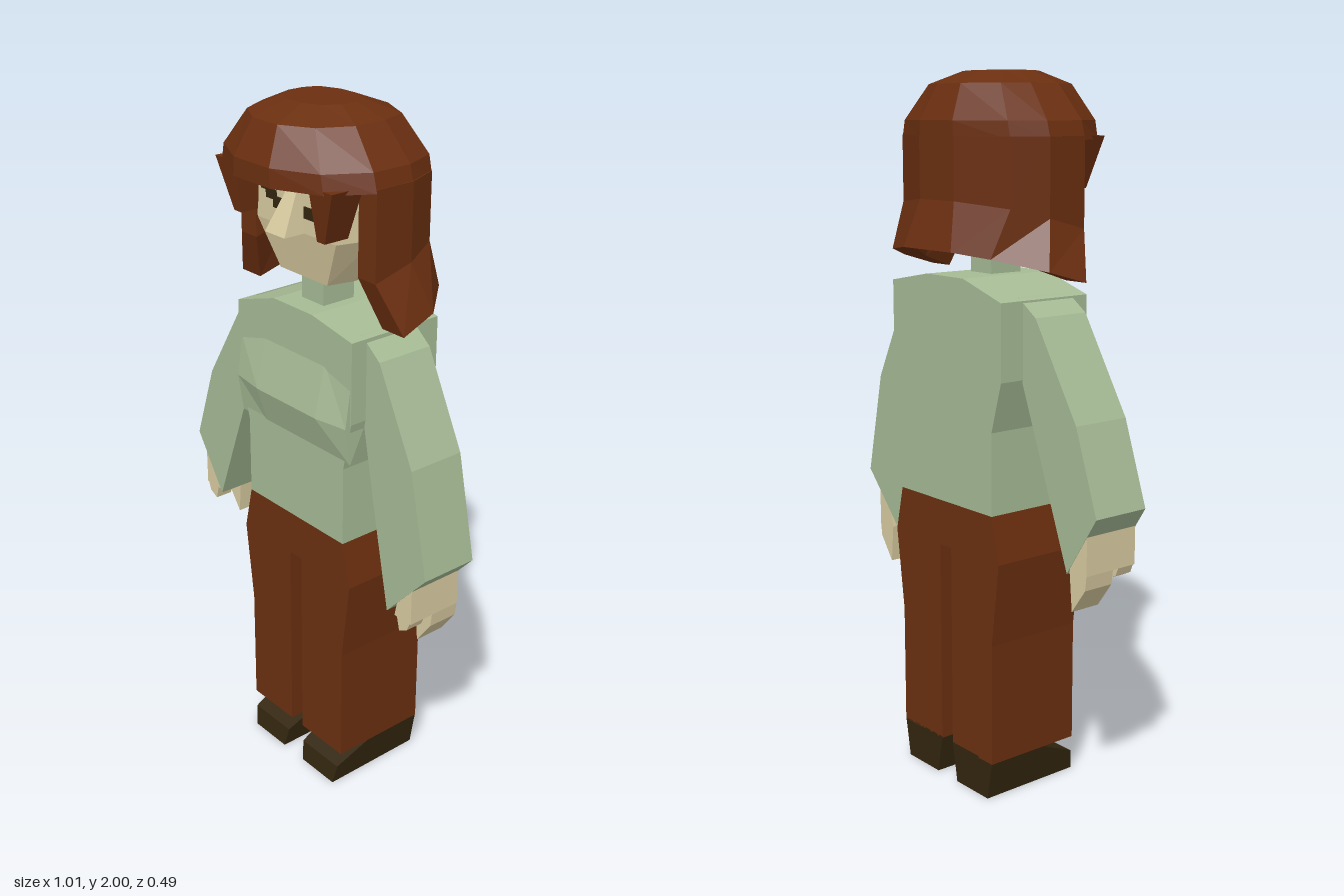
import * as THREE from 'three';

const material = (name, color) => {
  const m = new THREE.MeshStandardMaterial({ color });
  m.name = name;
  return m;
};

// Faceted solid through rings of equal, even point count, closed at both ends.
function loft(rings) {
  const n = rings[0].length, pos = [];
  const tri = (a, b, c) => pos.push(...a, ...b, ...c);
  const quad = (a, b, c, d) => { tri(a, b, c); tri(a, c, d); };
  for (let r = 0; r < rings.length - 1; r++)
    for (let i = 0; i < n; i++) {
      const j = (i + 1) % n;
      quad(rings[r][i], rings[r][j], rings[r + 1][j], rings[r + 1][i]);
    }
  const first = rings[0], last = rings[rings.length - 1];
  for (let i = 0; i < n / 2 - 1; i++) {
    quad(first[i], first[n - 1 - i], first[n - 2 - i], first[i + 1]);
    quad(last[i], last[i + 1], last[n - 2 - i], last[n - 1 - i]);
  }
  // Turn the solid outward if its signed volume is negative
  let volume = 0;
  const v = (k) => new THREE.Vector3().fromArray(pos, k);
  for (let k = 0; k < pos.length; k += 9) volume += v(k).dot(v(k + 3).cross(v(k + 6)));
  if (volume < 0)
    for (let k = 0; k < pos.length; k += 9)
      for (let c = 0; c < 3; c++) [pos[k + 3 + c], pos[k + 6 + c]] = [pos[k + 6 + c], pos[k + 3 + c]];
  const g = new THREE.BufferGeometry();
  g.setAttribute('position', new THREE.Float32BufferAttribute(pos, 3));
  g.computeVertexNormals();
  return g;
}

// Front outline extruded from z0 to z1
function prism(points, z0, z1) {
  const shape = new THREE.Shape(points.map(([x, y]) => new THREE.Vector2(x, y)));
  return new THREE.ExtrudeGeometry(shape, { depth: z1 - z0, bevelEnabled: false }).translate(0, 0, z0);
}

// Horizontal rectangle ring
const rect = (y, x0, x1, z0, z1) => [[x0, y, z0], [x1, y, z0], [x1, y, z1], [x0, y, z1]];

export function createModel() {
  const model = new THREE.Group();
  model.name = 'woman';
  const green = material('sage sweater', 0xa6bb95);
  const brown = material('auburn', 0x6b2f10);
  const skin = material('skin', 0xd8cba0);
  const dark = material('dark brown', 0x33260f);
  const add = (name, geometry, mat) => {
    const mesh = new THREE.Mesh(geometry, mat);
    mesh.name = name;
    model.add(mesh);
  };

  // Trousers
  add('trousers', prism([
    [-0.18, 0.83], [-0.21, 0.70], [-0.18, 0.46], [-0.18, 0.11], [0, 0.11], [0, 0.70],
    [0.05, 0.70], [0.05, 0.11], [0.23, 0.11], [0.23, 0.46], [0.26, 0.70], [0.23, 0.83],
  ], -0.19, 0.11), brown);

  // Shoes
  for (const [name, x] of [['rightShoe', -0.09], ['leftShoe', 0.14]])
    add(name, loft([
      rect(0, x - 0.07, x + 0.07, -0.19, 0.125),
      rect(0.06, x - 0.08, x + 0.08, -0.19, 0.115),
      rect(0.115, x - 0.09, x + 0.09, -0.19, -0.01),
    ]), dark);

  // Sweater body, bust and collar
  add('torso', prism([
    [-0.18, 0.83], [0.23, 0.83], [0.23, 1.06], [0.26, 1.20], [0.26, 1.43],
    [0.10, 1.46], [-0.06, 1.46], [-0.22, 1.41], [-0.22, 1.20], [-0.18, 1.06],
  ], -0.19, 0.11), green);
  add('bust', loft([[-0.21, 1.31, 0.125], [-0.10, 1.34, 0.142], [0.15, 1.34, 0.142], [0.255, 1.31, 0.125]]
    .map(([x, top, z]) => [[x, top, 0.108], [x, 1.19, z], [x, 1.08, 0.108], [x, 1.2, 0.05]])), green);
  add('neck', loft([rect(1.44, -0.02, 0.07, -0.06, 0.045), rect(1.56, -0.02, 0.07, -0.06, 0.045)]), green);

  // Sleeves
  const sleeves = {
    rightSleeve: [[-0.20, 1.418], [-0.27, 1.37], [-0.43, 1.11], [-0.51, 0.88], [-0.40, 0.71], [-0.31, 0.95], [-0.20, 1.24]],
    leftSleeve: [[0.24, 1.435], [0.31, 1.38], [0.44, 1.12], [0.505, 0.82], [0.36, 0.66], [0.30, 0.95], [0.24, 1.26]],
  };
  for (const name in sleeves) add(name, prism(sleeves[name], -0.115, 0.06), green);

  // Hands: palm, fingers and thumb, the right one carried a little higher
  const hand = [
    ['Palm', [[0.455, 0.80], [0.455, 0.66], [0.39, 0.66], [0.41, 0.76]], -0.114, 0.059],
    ['Fingers', [[0.455, 0.66], [0.45, 0.62], [0.40, 0.55], [0.39, 0.66]], -0.114, -0.02],
    ['Thumb', [[0.45, 0.66], [0.44, 0.635], [0.41, 0.62], [0.40, 0.66]], 0.005, 0.059],
  ];
  for (const [part, points, z0, z1] of hand) {
    add('left' + part, prism(points, z0, z1), skin);
    add('right' + part, prism(points.map(([x, y]) => [-x - 0.02, y + 0.06]), z0, z1), skin);
  }

  // Head with narrowing jaw
  const skull = [[-0.13, 0.105], [0.19, 0.105], [0.22, 0], [0.18, -0.13], [-0.12, -0.13], [-0.16, 0]];
  const headRing = (y, sx, sz) => skull.map(([x, z]) => [0.03 + (x - 0.03) * sx, y, z * sz]);
  add('head', loft([headRing(1.54, 0.6, 0.76), headRing(1.67, 1, 1), headRing(1.86, 1, 1)]), skin);
  add('nose', loft([rect(1.67, -0.015, 0.065, 0.1, 0.17), rect(1.79, 0.012, 0.046, 0.1, 0.11)]), skin);

  // Stepped eyes and brows as thin plates: offset from face middle, height, width, tall
  const marks = [[0.062, 1.727, 0.045, 0.03], [0.095, 1.745, 0.04, 0.025], [0.118, 1.762, 0.035, 0.018],
    [0.075, 1.808, 0.05, 0.01]];
  for (const [side, s] of [['left', 1], ['right', -1]])
    marks.forEach(([dx, y, w, h], i) => add(side + (i < 3 ? 'Eye' : 'Brow'),
      new THREE.BoxGeometry(w, h, 0.006).translate(0.028 + s * dx, y, 0.107), dark));

  // Crown of the hair with the fringe in front
  const back = [[-0.25, 0.07], [-0.25, -0.05], [-0.21, -0.15], [-0.05, -0.21],
    [0.10, -0.21], [0.26, -0.15], [0.30, -0.05], [0.30, 0.07]];
  const outline = [...back, [0.23, 0.18], [0.10, 0.24], [-0.05, 0.24], [-0.18, 0.18]];
  const scaled = ([x, z], y, sx, sz) => [0.025 + (x - 0.025) * sx, y, 0.015 + (z - 0.015) * sz];
  const crown = [[1.82, 1, 1], [1.87, 0.95, 1], [1.965, 0.66, 0.8], [2.0, 0.38, 0.39]];
  add('hairCrown', loft(crown.map(([y, sx, sz]) => outline.map((p) => scaled(p, y, sx, sz)))), brown);

  // Long hair round the sides and back, flaring out at the ends
  const flare = [[-0.31, 0.025], [-0.295, -0.09], [-0.19, -0.20], [-0.08, -0.245],
    [0.13, -0.245], [0.26, -0.19], [0.345, -0.09], [0.36, 0.025]];
  add('longHair', loft(back.map((p, i) => {
    const q = flare[i];
    const kink = 1.59 + (0.07 - p[1]) * 0.26;
    const end = 1.455 + (0.025 - q[1]) * 0.29;
    const inner = ([x, z], y) => [0.025 + (x - 0.025) * 0.76, y, z > 0 ? z : z * 0.76];
    return [[p[0], 1.83, p[1]], [p[0], kink, p[1]], [q[0], end, q[1]],
      inner(q, end), inner(p, kink), inner(p, 1.83)];
  })), brown);

  // Locks in front of the temples
  for (const [name, s] of [['leftLock', 1], ['rightLock', -1]]) {
    const x = (d) => 0.027 + s * d;
    add(name, loft([
      rect(1.69, x(0.155), x(0.185), 0.085, 0.16),
      rect(1.83, x(0.145), x(0.235), 0.08, 0.18),
    ]), brown);
  }

  return model;
}
